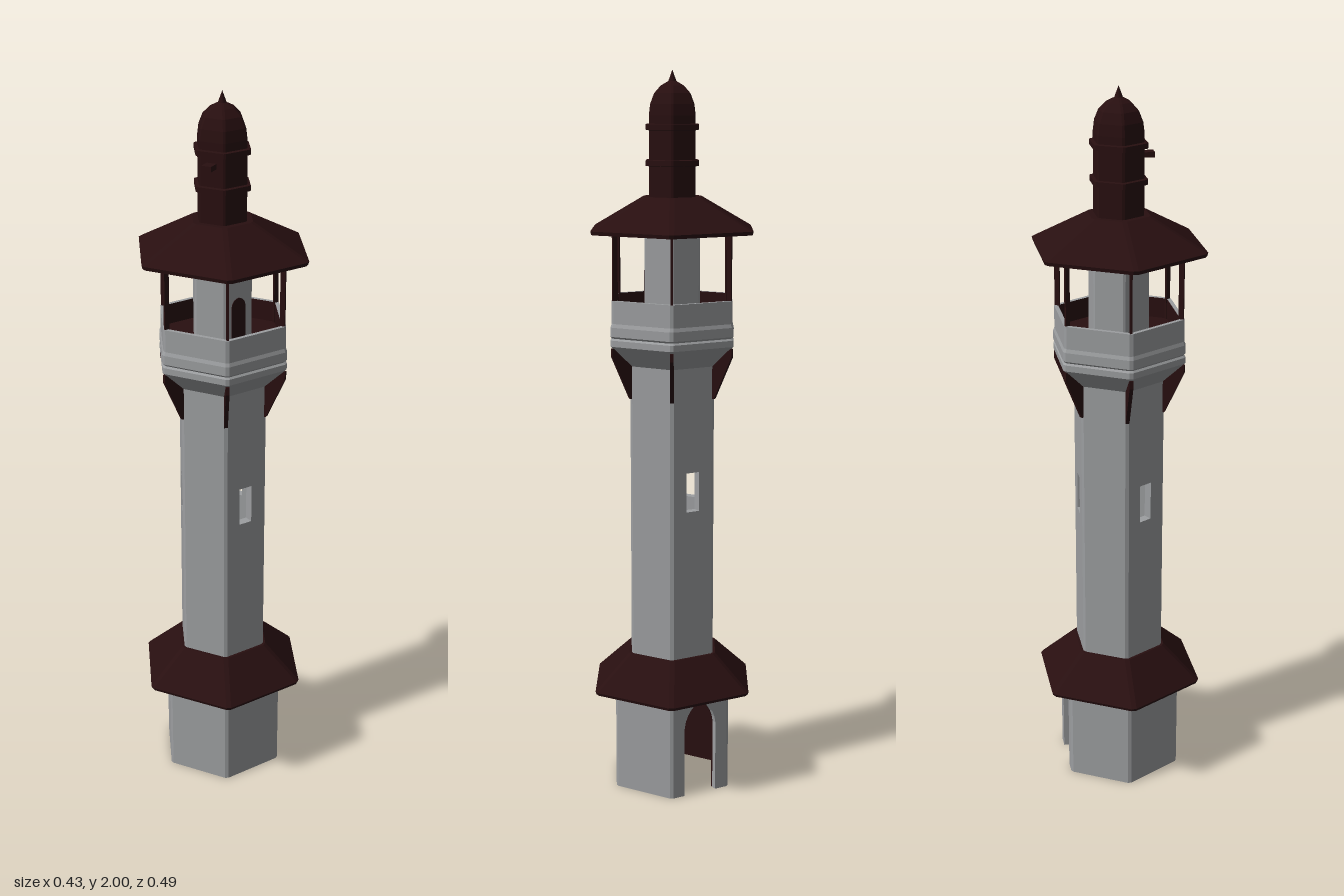
import * as THREE from 'three';

const stone = new THREE.MeshStandardMaterial({ color: 0x9c9ea0 });
stone.name = 'grey stone';
const dark = new THREE.MeshStandardMaterial({ color: 0x280f10 });
dark.name = 'dark maroon';

const COS30 = Math.sqrt(3) / 2;
const SIXTH = Math.PI / 3;

function add(parent, name, geometry, material) {
  const mesh = new THREE.Mesh(geometry, material);
  mesh.name = name;
  parent.add(mesh);
  return mesh;
}

// Faceted hexagonal solid with chamfered corners from [radius, y] pairs
function hexLoft(profile, chamfer = 0.005) {
  const rings = profile.map(([r, y]) => {
    const e = Math.min(chamfer, r / 4);
    const ring = [];
    for (let k = 0; k < 6; k++) {
      const corner = (a) => new THREE.Vector3(r * Math.sin(a * SIXTH), y, r * Math.cos(a * SIXTH));
      const c = corner(k);
      for (const n of [k - 1, k + 1]) ring.push(c.clone().lerp(corner(n), r > 0 ? e / r : 0));
    }
    return ring;
  });
  const pts = [];
  for (let i = 0; i < rings.length - 1; i++) {
    for (let j = 0; j < 12; j++) {
      const n = (j + 1) % 12;
      const [a, b, c, d] = [rings[i][j], rings[i][n], rings[i + 1][n], rings[i + 1][j]];
      if (profile[i][0] > 0) pts.push(a, b, d);
      if (profile[i + 1][0] > 0) pts.push(b, c, d);
    }
  }
  const g = new THREE.BufferGeometry().setFromPoints(pts);
  g.computeVertexNormals();
  return g;
}

// Pointed arch outline standing on y0
function arch(Kind, w, y0, spring, top) {
  const s = new Kind();
  s.moveTo(-w, y0);
  s.lineTo(w, y0);
  s.lineTo(w, spring);
  s.quadraticCurveTo(w * 0.9, (spring + top) / 2 + 0.01, 0, top);
  s.quadraticCurveTo(-w * 0.9, (spring + top) / 2 + 0.01, -w, spring);
  s.closePath();
  return s;
}

function extrude(shape, depth) {
  return new THREE.ExtrudeGeometry(shape, { depth, bevelEnabled: false, curveSegments: 5 });
}

// Hollow hexagonal wall: six panels and six chamfer strips
function hexWall(name, r, y0, y1, thick, panelShape, lining = 0) {
  const group = new THREE.Group();
  group.name = name;
  const e = 0.006;
  const half = r / 2 - e;
  for (let k = 0; k < 6; k++) {
    const side = new THREE.Group();
    side.name = name + 'Side';
    side.rotation.y = (k + 0.5) * SIXTH;
    const shape = panelShape(k, half);
    add(side, 'panel', extrude(shape, thick), stone).position.z = r * COS30 - thick;
    if (lining) add(side, 'lining', extrude(shape, lining), dark).position.z = r * COS30 - thick - lining;
    group.add(side);

    const corner = new THREE.Group();
    corner.name = name + 'Corner';
    corner.rotation.y = k * SIXTH;
    const strip = add(corner, 'cornerStrip', new THREE.BoxGeometry(e * 1.732, y1 - y0, thick), stone);
    strip.position.set(0, (y0 + y1) / 2, r - e / 2 - thick / 2);
    group.add(corner);
  }
  return group;
}

function rect(Kind, x0, y0, x1, y1) {
  const s = new Kind();
  s.moveTo(x0, y0);
  s.lineTo(x1, y0);
  s.lineTo(x1, y1);
  s.lineTo(x0, y1);
  s.closePath();
  return s;
}

export function createModel() {
  const tower = new THREE.Group();
  tower.name = 'tower';

  // Hollow base with an arched doorway at the back right
  tower.add(hexWall('base', 0.183, 0, 0.29, 0.016, (k, h) => {
    if (k !== 2) return rect(THREE.Shape, -h, 0, h, 0.29);
    const w = 0.05;
    const s = new THREE.Shape();
    s.moveTo(-h, 0);
    s.lineTo(-w, 0);
    s.lineTo(-w, 0.2);
    s.quadraticCurveTo(-w * 0.9, 0.25, 0, 0.275);
    s.quadraticCurveTo(w * 0.9, 0.25, w, 0.2);
    s.lineTo(w, 0);
    s.lineTo(h, 0);
    s.lineTo(h, 0.29);
    s.lineTo(-h, 0.29);
    s.closePath();
    return s;
  }, 0.006));

  // Lower skirt roof
  add(tower, 'lowerRoof', hexLoft([
    [0, 0.284], [0.245, 0.284], [0.248, 0.292], [0.14, 0.39], [0, 0.39],
  ], 0.008), dark);

  // Shaft with slit windows on every other side
  tower.add(hexWall('shaft', 0.132, 0.385, 1.25, 0.025, (k, h) => {
    const s = rect(THREE.Shape, -h, 0.385, h, 1.25);
    if (k % 2 === 0) s.holes.push(rect(THREE.Path, -0.02, 0.81, 0.02, 0.92));
    return s;
  }));

  // Flared balcony with moulded band and parapet
  add(tower, 'balcony', hexLoft([
    [0.125, 1.21], [0.132, 1.21], [0.184, 1.26], [0.192, 1.268], [0.192, 1.285],
    [0.187, 1.29], [0.192, 1.295], [0.192, 1.32], [0.188, 1.33], [0.188, 1.392], [0.175, 1.392],
  ], 0.006), stone);
  add(tower, 'balconyLining', hexLoft([[0.175, 1.392], [0.175, 1.335], [0, 1.335]], 0.006), dark);

  // Lantern room with an arched doorway
  add(tower, 'lanternRoom', hexLoft([[0.087, 1.33], [0.087, 1.6]], 0.004), stone);
  const doorway = new THREE.Group();
  doorway.name = 'lanternDoorway';
  doorway.rotation.y = SIXTH / 2;
  add(doorway, 'lanternDoor', extrude(arch(THREE.Shape, 0.022, 1.335, 1.44, 1.466), 0.004), dark)
    .position.z = 0.087 * COS30 - 0.002;
  tower.add(doorway);

  // Thin radial brackets and roof posts at each corner
  const bracket = new THREE.Shape();
  bracket.moveTo(0.126, 1.12);
  bracket.lineTo(0.134, 1.12);
  bracket.lineTo(0.188, 1.24);
  bracket.lineTo(0.188, 1.262);
  bracket.lineTo(0.126, 1.262);
  bracket.closePath();
  for (let k = 0; k < 6; k++) {
    const corner = new THREE.Group();
    corner.name = 'balconyCorner';
    corner.rotation.y = k * SIXTH - Math.PI / 2;
    add(corner, 'bracket', extrude(bracket, 0.01), dark).position.z = -0.005;
    add(corner, 'post', new THREE.BoxGeometry(0.014, 0.25, 0.006), dark).position.set(0.177, 1.46, 0);
    tower.add(corner);
  }

  // Upper roof
  add(tower, 'upperRoof', hexLoft([
    [0, 1.57], [0.247, 1.57], [0.25, 1.58], [0.09, 1.665], [0, 1.665],
  ], 0.008), dark);

  // Turret with rings, dome and pointed finial
  add(tower, 'turret', hexLoft([
    [0.072, 1.65], [0.072, 1.88], [0.068, 1.91], [0.056, 1.938], [0.036, 1.958], [0.012, 1.97], [0, 1.972],
  ], 0.004), dark);
  for (const y of [1.755, 1.85]) {
    add(tower, 'turretRing', hexLoft([
      [0.07, y - 0.009], [0.082, y - 0.007], [0.082, y + 0.007], [0.07, y + 0.009],
    ], 0.004), dark);
  }
  const finial = add(tower, 'finial', new THREE.ConeGeometry(0.013, 0.035, 8), dark);
  finial.position.y = 1.9825;

  // Small lug on the front of the turret
  const lugMount = new THREE.Group();
  lugMount.name = 'lugMount';
  lugMount.rotation.y = -SIXTH / 2;
  add(lugMount, 'lug', new THREE.BoxGeometry(0.028, 0.014, 0.04), dark).position.set(0, 1.82, 0.074);
  tower.add(lugMount);

  return tower;
}
